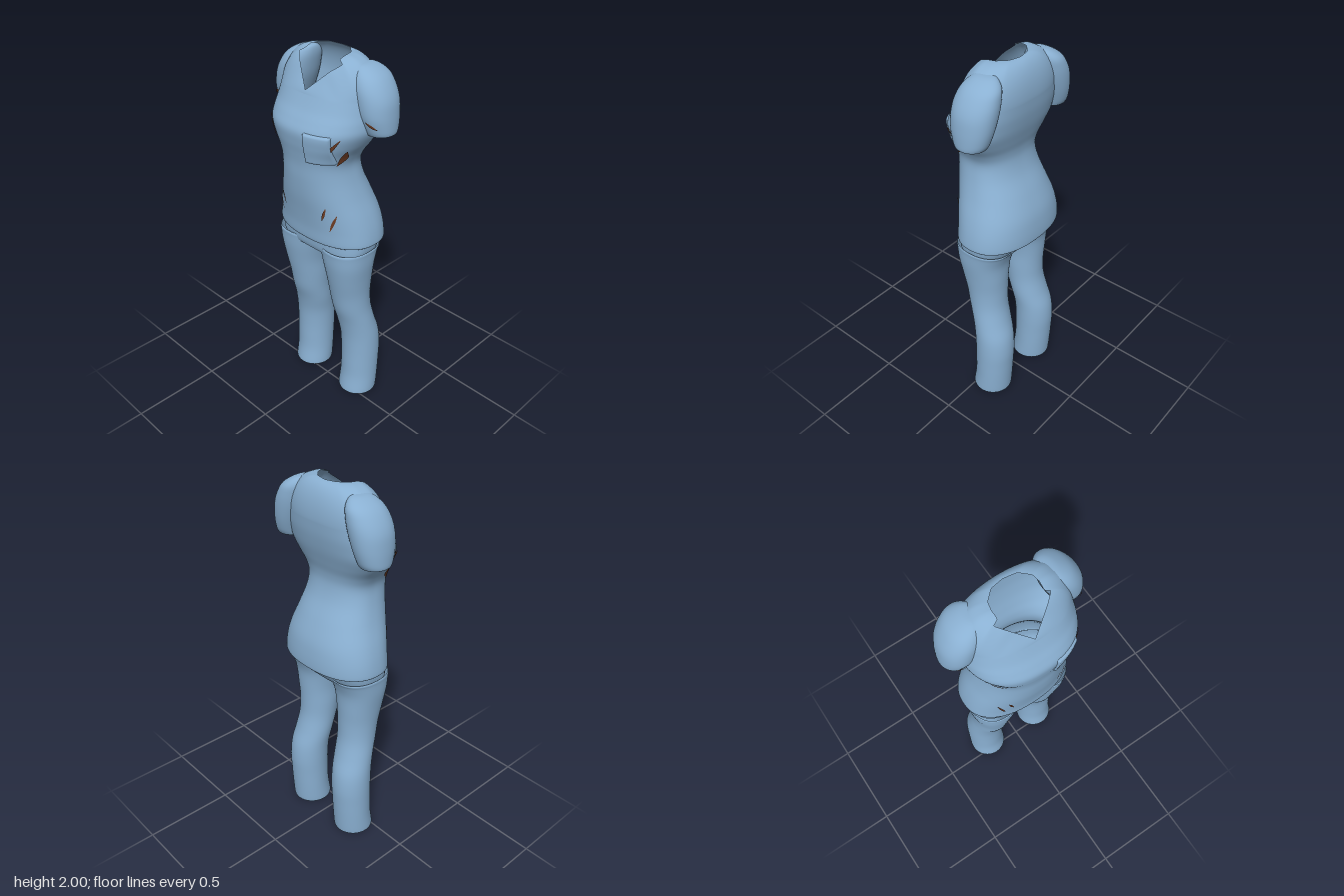
import * as THREE from 'three';

const fabric = new THREE.MeshStandardMaterial({ color: 0x8ab0d2, side: THREE.DoubleSide });
fabric.name = 'blueFabric';
const tear = new THREE.MeshStandardMaterial({ color: 0x6e3d24, side: THREE.DoubleSide });
tear.name = 'brownTear';

// Cross-sections: [y, centre x, half width, widest z, front z, back z, squareness]
const TUNIC = [
  [1.075, 0, 0.285, -0.03, 0.145, -0.21, 2.3],
  [1.046, 0, 0.3, -0.03, 0.16, -0.225, 2.3],
  [1.05, 0, 0.31, -0.03, 0.17, -0.234, 2.3],
  [1.12, 0, 0.299, -0.03, 0.175, -0.23, 2.3],
  [1.2, 0, 0.277, -0.02, 0.186, -0.215, 2.3],
  [1.3, 0, 0.242, 0, 0.202, -0.177, 2.3],
  [1.4, 0, 0.214, 0.02, 0.212, -0.132, 2.3],
  [1.48, 0, 0.203, 0.03, 0.216, -0.112, 2.4],
  [1.54, 0, 0.222, 0.02, 0.224, -0.114, 2.4],
  [1.6, 0, 0.259, 0, 0.234, -0.13, 2.4],
  [1.66, 0, 0.287, -0.02, 0.237, -0.147, 2.4],
  [1.71, 0, 0.29, -0.03, 0.214, -0.158, 2.4],
  [1.76, 0, 0.286, -0.04, 0.184, -0.166, 2.4],
  [1.82, 0, 0.278, -0.04, 0.155, -0.171, 2.4],
];
const SLEEVE = [
  [1.69, 0.295, 0.062, -0.055, 0.008, -0.12, 2.1],
  [1.66, 0.297, 0.069, -0.055, 0.017, -0.128, 2.1],
  [1.664, 0.297, 0.075, -0.055, 0.024, -0.134, 2.1],
  [1.69, 0.294, 0.08, -0.053, 0.036, -0.146, 2.1],
  [1.75, 0.282, 0.09, -0.05, 0.055, -0.16, 2.1],
  [1.82, 0.265, 0.097, -0.05, 0.06, -0.167, 2.1],
  [1.88, 0.245, 0.09, -0.05, 0.055, -0.165, 2.1],
  [1.93, 0.222, 0.073, -0.05, 0.035, -0.152, 2.1],
  [1.965, 0.195, 0.04, -0.05, 0, -0.11, 2],
  [1.972, 0.18, 0.003, -0.05, -0.045, -0.055, 2],
];
const LEG = [
  [0.03, 0.182, 0.1, -0.067, 0.03, -0.165, 2],
  [0.0, 0.182, 0.104, -0.067, 0.036, -0.172, 2],
  [0.005, 0.182, 0.109, -0.067, 0.042, -0.177, 2],
  [0.1, 0.182, 0.108, -0.08, 0.028, -0.184, 2],
  [0.2, 0.182, 0.108, -0.084, 0.025, -0.19, 2],
  [0.3, 0.181, 0.109, -0.085, 0.025, -0.194, 2],
  [0.4, 0.177, 0.109, -0.077, 0.031, -0.184, 2],
  [0.5, 0.167, 0.109, -0.052, 0.05, -0.154, 2],
  [0.6, 0.16, 0.106, -0.028, 0.08, -0.132, 2],
  [0.7, 0.157, 0.109, -0.016, 0.1, -0.128, 2],
  [0.8, 0.16, 0.115, -0.006, 0.12, -0.131, 2.1],
  [0.9, 0.159, 0.128, 0, 0.138, -0.137, 2.2],
  [0.97, 0.155, 0.136, -0.005, 0.145, -0.158, 2.3],
  [0.99, 0.154, 0.139, -0.01, 0.147, -0.17, 2.3],
  [1.0, 0.153, 0.137, -0.01, 0.143, -0.17, 2.3],
];
const PELVIS = [
  [0.965, 0, 0.27, -0.01, 0.132, -0.155, 3],
  [0.99, 0, 0.282, -0.01, 0.14, -0.172, 2.8],
  [1.04, 0, 0.287, -0.02, 0.145, -0.195, 2.6],
  [1.1, 0, 0.283, -0.02, 0.15, -0.205, 2.4],
];
// Neckline from centre back to the point of the V: [angle share, x, y, z]
const NECK = [
  [0, 0, 1.998, -0.095], [0.22, 0.065, 2, -0.083], [0.4, 0.11, 2, -0.04],
  [0.52, 0.118, 1.998, 0], [0.62, 0.115, 1.985, 0.04], [0.67, 0.143, 1.968, 0.05],
  [0.76, 0.1, 1.935, 0.085], [1, 0, 1.838, 0.148],
];

// Smooth interpolation along a table of sections, t in 0..1
function section(keys, t) {
  const f = Math.min(t, 1) * (keys.length - 1);
  const i = Math.min(Math.floor(f), keys.length - 2), s = f - i;
  const at = k => keys[Math.max(0, Math.min(keys.length - 1, k))];
  return keys[i].map((p1, c) => {
    const p0 = at(i - 1)[c], p2 = keys[i + 1][c], p3 = at(i + 2)[c];
    return p1 + 0.5 * s * (p2 - p0 + s * (2 * p0 - 5 * p1 + 4 * p2 - p3 + s * (3 * (p1 - p2) + p3 - p0)));
  });
}

// Point around a section; angle 0 is the back, PI the front
function ringPoint([y, cx, w, cz, front, back, n], a) {
  const s = Math.sin(a), c = -Math.cos(a);
  const bend = v => Math.sign(v) * Math.pow(Math.abs(v), 2 / n);
  return [cx + w * bend(s), y, cz + bend(c) * (c > 0 ? front - cz : cz - back)];
}

// Surface from a grid of points
function grid(nu, nv, fn, closed) {
  const pos = [], index = [], cols = closed ? nu : nu + 1;
  for (let j = 0; j <= nv; j++)
    for (let i = 0; i < cols; i++) pos.push(...fn(i / nu, j / nv));
  for (let j = 0; j < nv; j++)
    for (let i = 0; i < nu; i++) {
      const a = j * cols + i, b = j * cols + (i + 1) % cols, c = a + cols, d = b + cols;
      index.push(a, c, b, b, c, d);
    }
  const g = new THREE.BufferGeometry();
  g.setAttribute('position', new THREE.Float32BufferAttribute(pos, 3));
  g.setIndex(index);
  g.computeVertexNormals();
  return g;
}

const loft = (keys, nv) =>
  grid(64, nv, (u, v) => ringPoint(section(keys, v), u * Math.PI * 2), true);

// Tunic body, rounding over the shoulders to the V neck
function tunicPoint(u, v) {
  const a = u * Math.PI * 2, split = 0.75;
  if (v <= split) return ringPoint(section(TUNIC, v / split), a);
  const k = (v - split) / (1 - split);
  const p = ringPoint(TUNIC[TUNIC.length - 1], a);
  const s = 1 - Math.abs(1 - 2 * u);
  let i = 0;
  while (i < NECK.length - 2 && s > NECK[i + 1][0]) i++;
  const q = NECK[i].map((e, c) =>
    THREE.MathUtils.lerp(e, NECK[i + 1][c], (s - NECK[i][0]) / (NECK[i + 1][0] - NECK[i][0])));
  const round = s > 0.55 ? Math.max(0.2, 1 - (s - 0.55) * 3) : 1;
  const out = THREE.MathUtils.lerp(k, 1 - Math.cos(k * Math.PI / 2), round);
  const up = THREE.MathUtils.lerp(k, Math.sin(k * Math.PI / 2), round);
  const x = u > 0.5 ? -q[1] : q[1];
  return [p[0] + (x - p[0]) * out, p[1] + (q[2] - p[1]) * up, p[2] + (q[3] - p[2]) * out];
}

// Point on the front of a lofted part, lifted off along its normal
function onFront(keys, x, y, lift) {
  const depth = (px, py) => {
    let lo = 2 / (keys.length - 1), hi = 1;
    for (let i = 0; i < 24; i++) {
      const mid = (lo + hi) / 2;
      if (section(keys, mid)[0] < py) lo = mid; else hi = mid;
    }
    const [, cx, w, cz, front, , n] = section(keys, lo);
    const r = Math.min(1, Math.abs((px - cx) / w));
    return cz + (front - cz) * Math.pow(1 - Math.pow(r, n), 1 / n);
  };
  const e = 0.003, z = depth(x, y);
  const n = new THREE.Vector3(
    (depth(x - e, y) - depth(x + e, y)) / (2 * e),
    (depth(x, y - e) - depth(x, y + e)) / (2 * e), 1).normalize().multiplyScalar(lift);
  return [x + n.x, y + n.y, z + n.z];
}

// Tapered slit between two points of a surface
function slit(keys, x0, y0, x1, y1) {
  const len = Math.hypot(x1 - x0, y1 - y0), nx = -(y1 - y0) / len, ny = (x1 - x0) / len;
  return grid(2, 10, (u, v) => {
    const h = (u - 0.5) * 0.013 * Math.sin(Math.PI * (0.04 + 0.92 * v));
    return onFront(keys, x0 + (x1 - x0) * v + nx * h, y0 + (y1 - y0) * v + ny * h, 0.005);
  });
}

export function createModel() {
  const model = new THREE.Group();
  model.name = 'tunicAndTrousers';
  const add = (name, geometry, material = fabric, side = 1) => {
    const mesh = new THREE.Mesh(geometry, material);
    mesh.name = name;
    mesh.scale.x = side;
    model.add(mesh);
  };

  add('tunic', grid(96, 96, tunicPoint, true));
  add('pelvis', loft(PELVIS, 10));

  // Strip joining the legs underneath
  add('crotch', grid(6, 16, (u, v) => {
    const k = 2 * v - 1;
    return [(u - 0.5) * 0.13, 0.962 + 0.02 * k ** 4, 0.132 - v * 0.287];
  }));

  // Chest pocket with a turned-down edge
  add('pocket', grid(20, 20, (u, v) => {
    const edge = Math.min(u, 1 - u, v, 1 - v);
    const right = 0.192 + 0.01 * v;
    return onFront(TUNIC, right + (0.066 - right) * u, 1.51 + 0.16 * v, edge < 0.01 ? 0 : 0.01);
  }));

  const tears = [
    ['hipTear', TUNIC, 0.2, 1.235, 0.168, 1.14],
    ['hipTear', TUNIC, 0.152, 1.27, 0.13, 1.195],
    ['ribTear', TUNIC, 0.235, 1.66, 0.155, 1.55],
    ['ribTear', TUNIC, 0.236, 1.59, 0.188, 1.505],
    ['sleeveTear', SLEEVE, 0.343, 1.703, 0.295, 1.738],
  ];
  for (const [label, side] of [['left', 1], ['right', -1]]) {
    add(label + 'Sleeve', loft(SLEEVE, 40), fabric, side);
    add(label + 'TrouserLeg', loft(LEG, 60), fabric, side);
    tears.forEach(([name, ...args], i) => add(`${label}${name}${i + 1}`, slit(...args), tear, side));
  }
  return model;
}
